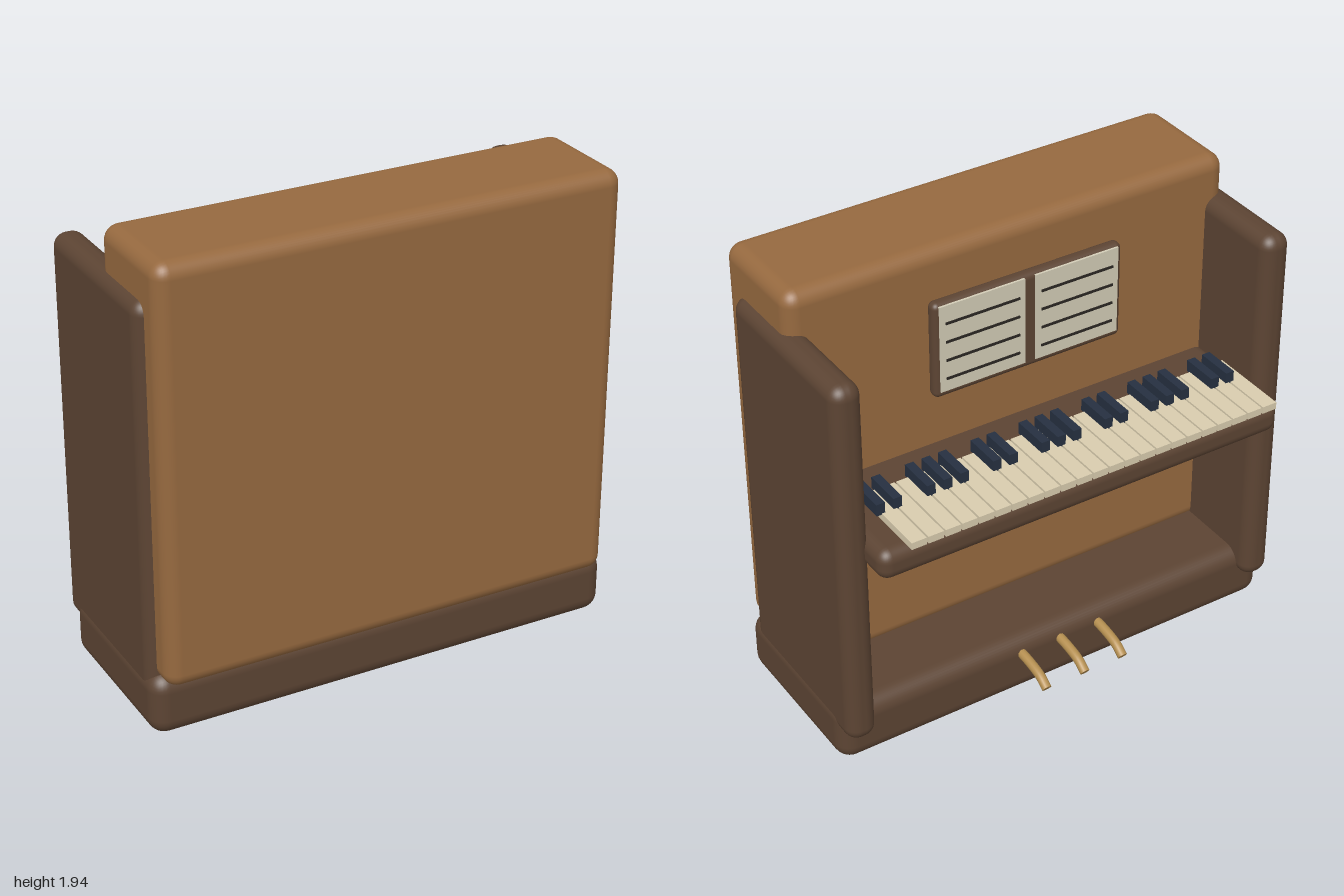
import * as THREE from 'three';
import { RoundedBoxGeometry } from 'three/addons/geometries/RoundedBoxGeometry.js';

const mat = (color) => new THREE.MeshStandardMaterial({ color });

export function createModel() {
  const piano = new THREE.Group();
  piano.name = 'uprightPiano';
  const wood = mat(0x96693f), darkWood = mat(0x5c4433), ivory = mat(0xd8ccae);
  const ebony = mat(0x263040), paper = mat(0xd2ccb6), brass = mat(0xb58f50), ink = mat(0x2a2622);

  // Box given by its min/max corners; r > 0 rounds the edges
  function box(name, material, [x0, x1], [y0, y1], [z0, z1], r = 0, parent = piano) {
    const size = [x1 - x0, y1 - y0, z1 - z0];
    const geo = r > 0 ? new RoundedBoxGeometry(...size, 4, r) : new THREE.BoxGeometry(...size);
    const mesh = new THREE.Mesh(geo, material);
    mesh.name = name;
    mesh.position.set((x0 + x1) / 2, (y0 + y1) / 2, (z0 + z1) / 2);
    parent.add(mesh);
    return mesh;
  }
  function group(name) {
    const g = new THREE.Group();
    g.name = name;
    piano.add(g);
    return g;
  }

  // Case
  box('cabinet', wood, [-0.96, 0.96], [0.23, 1.94], [0.035, 0.51], 0.06);
  box('base', darkWood, [-1, 1], [0, 0.26], [-0.29, 0.46], 0.07);
  box('leftSidePanel', darkWood, [0.87, 0.995], [0.15, 1.77], [-0.355, 0.41], 0.055);
  box('rightSidePanel', darkWood, [-0.995, -0.87], [0.15, 1.77], [-0.355, 0.41], 0.055);
  box('keyBed', darkWood, [-0.895, 0.895], [0.965, 1.095], [-0.47, 0.12], 0.05);

  // Keyboard: 23 white keys, black keys in groups of two and three
  const keys = group('keyboard');
  const pitch = 0.0713;
  for (let i = 0; i < 23; i++) {
    const x = -0.808 + i * pitch;
    box('whiteKey', ivory, [x - 0.032, x + 0.032], [1.115, 1.145], [-0.51, -0.16], 0, keys);
    if (i % 7 !== 2 && i % 7 !== 6) {
      const b = x + pitch / 2;
      box('blackKey', ebony, [b - 0.018, b + 0.018], [1.14, 1.19], [-0.3, -0.14], 0, keys);
    }
  }

  // Music stand with two ruled pages
  const stand = group('musicStand');
  box('standBoard', darkWood, [-0.415, 0.415], [1.36, 1.77], [-0.06, -0.005], 0.024, stand);
  for (const side of [-1, 1]) {
    const cx = side * 0.208;
    box('page', paper, [cx - 0.185, cx + 0.185], [1.39, 1.76], [-0.065, -0.05], 0, stand);
    for (let i = 0; i < 4; i++) {
      const y = 1.685 - i * 0.08;
      box('staffLine', ink, [cx - 0.16, cx + 0.16], [y - 0.005, y + 0.005], [-0.069, -0.06], 0, stand);
    }
  }

  // Three bent pedals with closed ends
  const path = new THREE.CatmullRomCurve3([
    [0.195, -0.24], [0.188, -0.34], [0.17, -0.42], [0.14, -0.465],
  ].map(([y, z]) => new THREE.Vector3(0, y, z)));
  const pedalGeo = new THREE.TubeGeometry(path, 14, 0.02, 12);
  const capGeo = new THREE.CircleGeometry(0.02, 12);
  for (const x of [-0.18, 0, 0.18]) {
    const pedal = new THREE.Mesh(pedalGeo, brass);
    pedal.name = 'pedal';
    pedal.position.x = x;
    const cap = new THREE.Mesh(capGeo, brass);
    cap.name = 'pedalTip';
    cap.position.copy(path.getPoint(1));
    cap.quaternion.setFromUnitVectors(new THREE.Vector3(0, 0, 1), path.getTangent(1));
    pedal.add(cap);
    piano.add(pedal);
  }
  return piano;
}
